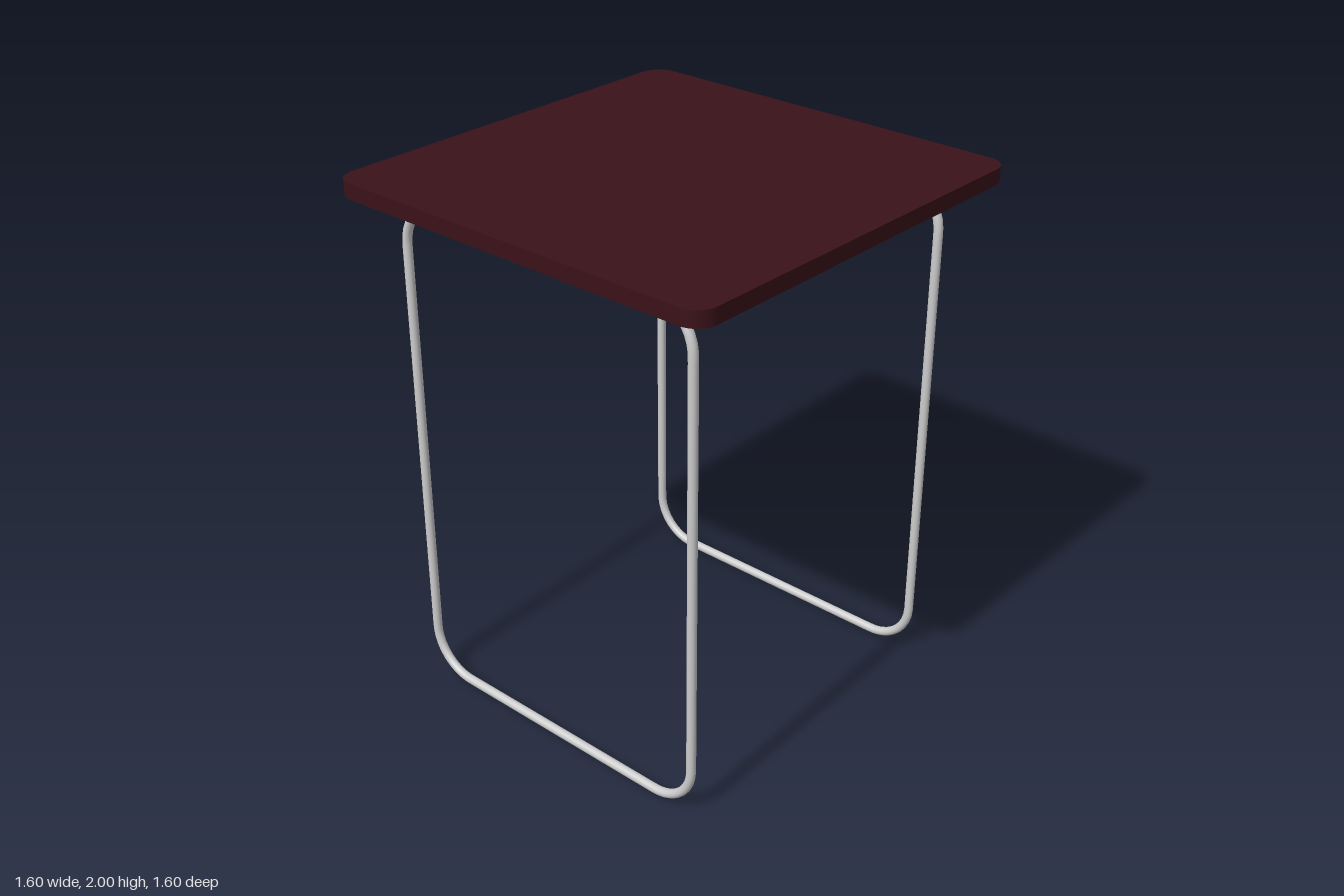
import * as THREE from 'three';

const TOP_HALF = 0.8, TOP_CORNER = 0.08, TOP_THICK = 0.058;
const TUBE_R = 0.017, BEND = 0.17, LEG_X = 0.64;

// Square outline with rounded corners
function roundedSquare(h, r) {
  const s = new THREE.Shape();
  s.absarc(h - r, h - r, r, 0, Math.PI / 2);
  s.absarc(-h + r, h - r, r, Math.PI / 2, Math.PI);
  s.absarc(-h + r, -h + r, r, Math.PI, Math.PI * 1.5);
  s.absarc(h - r, -h + r, r, Math.PI * 1.5, Math.PI * 2);
  s.closePath();
  return s;
}

// Closed rounded rectangle in the y-z plane, as straight runs and quarter bends
function legLoop(halfZ, y0, y1, r) {
  const path = new THREE.CurvePath();
  const corners = [[y0, halfZ], [y1, halfZ], [y1, -halfZ], [y0, -halfZ]]
    .map(([y, z]) => new THREE.Vector3(0, y, z));
  const toward = (a, b, d) => a.clone().add(b.clone().sub(a).setLength(d));
  const slack = r * (1 - 0.5523);
  corners.forEach((a, i) => {
    const b = corners[(i + 1) % 4], c = corners[(i + 2) % 4];
    const bendStart = toward(b, a, r), bendEnd = toward(b, c, r);
    path.add(new THREE.LineCurve3(toward(a, b, r), bendStart));
    path.add(new THREE.CubicBezierCurve3(bendStart, toward(b, a, slack), toward(b, c, slack), bendEnd));
  });
  return path;
}

export function createModel() {
  const group = new THREE.Group();
  const wood = new THREE.MeshStandardMaterial({ color: 0x3a1219 });
  const metal = new THREE.MeshStandardMaterial({ color: 0xcccccc });

  // Tabletop slab
  const slab = new THREE.ExtrudeGeometry(roundedSquare(TOP_HALF, TOP_CORNER),
    { depth: TOP_THICK, bevelEnabled: false, curveSegments: 12 });
  slab.rotateX(-Math.PI / 2);
  const top = new THREE.Mesh(slab, wood);
  top.name = 'tabletop';
  top.position.y = 2 - TOP_THICK;
  group.add(top);

  // Bent tube loop on each side
  const loop = legLoop(0.64, TUBE_R, 2 - TOP_THICK - TUBE_R, BEND);
  const tube = new THREE.TubeGeometry(loop, 200, TUBE_R, 16, true);
  for (const [name, side] of [['leftLegLoop', 1], ['rightLegLoop', -1]]) {
    const leg = new THREE.Mesh(tube, metal);
    leg.name = name;
    leg.position.x = side * LEG_X;
    group.add(leg);
  }
  return group;
}
